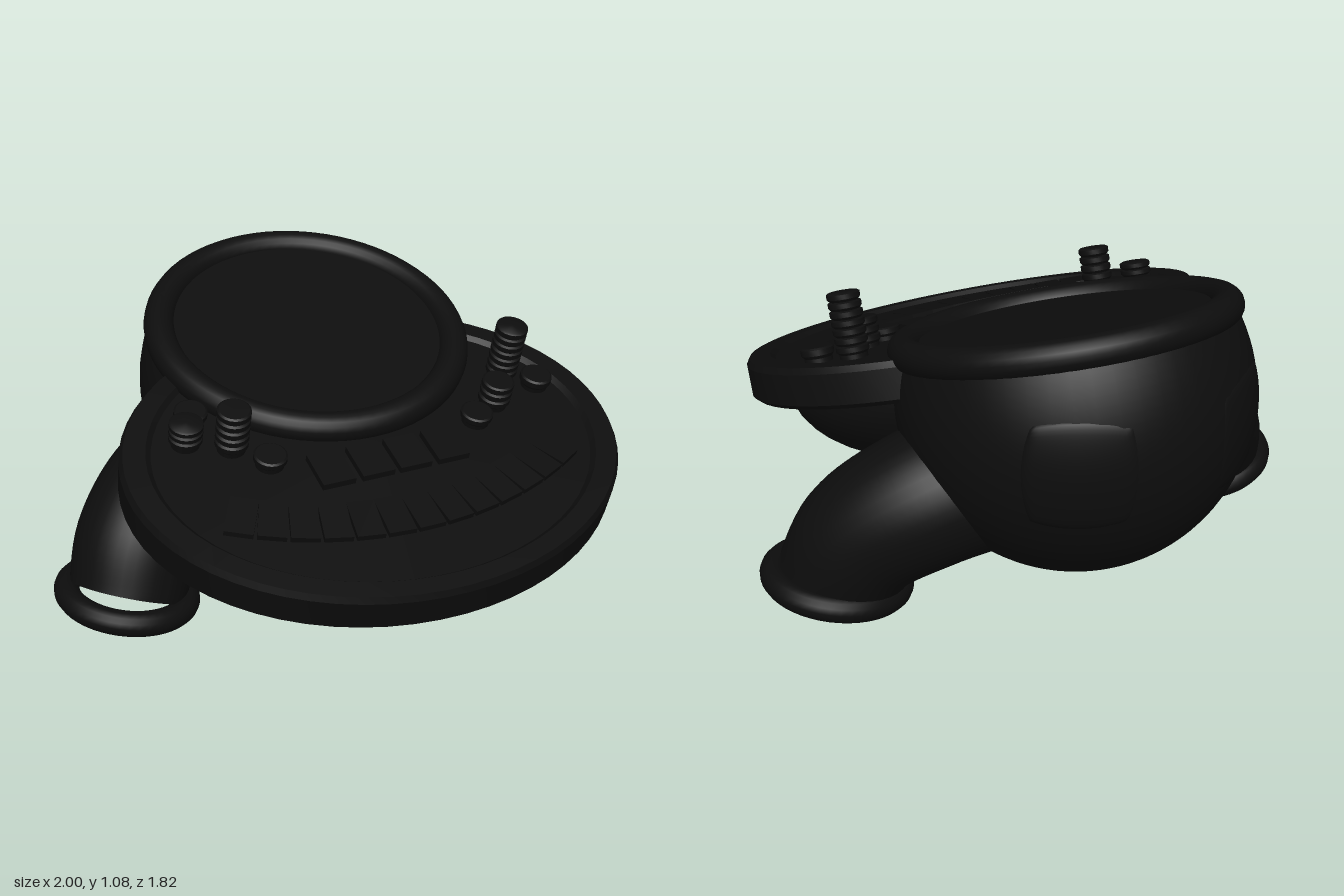
import * as THREE from 'three';
import { toCreasedNormals } from 'three/addons/utils/BufferGeometryUtils.js';

const TILT = 0.288;
const BOWL_R = 0.575;

const material = new THREE.MeshStandardMaterial({ color: 0x0d0d0d, side: THREE.DoubleSide });

function add(parent, name, geometry, x = 0, y = 0, z = 0) {
  const mesh = new THREE.Mesh(geometry, material);
  mesh.name = name;
  mesh.position.set(x, y, z);
  parent.add(mesh);
  return mesh;
}

const lathe = (points, sides) =>
  toCreasedNormals(new THREE.LatheGeometry(points.map(p => new THREE.Vector2(...p)), sides), 0.6);

// Oval tray with a raised rim and a rounded belly below
function trayGeometry() {
  const points = [];
  for (let i = 0; i <= 12; i++) {
    const t = (i / 12) * Math.PI / 2;
    points.push([0.85 * Math.sin(t), -0.13 - 0.36 * Math.cos(t)]);
  }
  points.push([0.98, -0.135], [1, -0.12], [1, -0.02], [0.985, 0], [0.9, 0], [0.88, -0.015], [0, -0.015]);
  return lathe(points, 64).scale(0.83, 1, 0.657);
}

// Rounded square patch bent onto the bowl's sphere
function pocketGeometry() {
  const geo = new THREE.PlaneGeometry(2, 2, 28, 28);
  const pos = geo.attributes.position;
  for (let i = 0; i < pos.count; i++) {
    const u = pos.getX(i), v = pos.getY(i);
    const lon = 0.33 * u * Math.sqrt(1 - 0.3 * v * v);
    const lat = 0.34 * v * Math.sqrt(1 - 0.3 * u * u);
    const edge = Math.max(Math.abs(u), Math.abs(v));
    const r = BOWL_R + 0.018 - 0.03 * edge ** 14;
    pos.setXYZ(i, r * Math.sin(lon) * Math.cos(lat), r * Math.sin(lat), r * Math.cos(lon) * Math.cos(lat));
  }
  geo.computeVertexNormals();
  return geo;
}

// Curved trouser leg, wider at the hip than at the cuff
function legGeometry(path) {
  const rows = 28, sides = 36;
  const geo = new THREE.TubeGeometry(path, rows, 1, sides, false);
  const pos = geo.attributes.position, p = new THREE.Vector3();
  for (let i = 0; i < pos.count; i++) {
    const t = Math.floor(i / (sides + 1)) / rows;
    const centre = path.getPointAt(t);
    p.fromBufferAttribute(pos, i).sub(centre).multiplyScalar(0.245 - 0.043 * t).add(centre);
    pos.setXYZ(i, p.x, p.y, p.z);
  }
  geo.computeVertexNormals();
  return geo;
}

// Knob with ribs along its height
function knobGeometry(height, radius) {
  const points = [[radius * 0.85, -0.03]];
  const ribs = Math.max(1, Math.round(height / 0.03));
  for (let i = 0; i < ribs; i++) {
    const y = (i / ribs) * height, step = height / ribs;
    points.push([radius * 0.85, y], [radius, y + step * 0.3], [radius, y + step * 0.85]);
  }
  points.push([radius * 0.88, height], [0, height]);
  return lathe(points, 20);
}

export function createModel() {
  const root = new THREE.Group();
  root.name = 'model';

  // Tilted assembly: its origin is the middle of the tray top
  const tilted = new THREE.Group();
  tilted.name = 'tiltedBody';
  tilted.position.set(0, 0.7, 0.275);
  tilted.rotation.x = TILT;
  root.add(tilted);

  add(tilted, 'tray', trayGeometry());
  add(tilted, 'bowl', new THREE.SphereGeometry(BOWL_R, 56, 36, 0, Math.PI * 2, 1.18, Math.PI - 1.18), 0, -0.215, -0.585);
  add(tilted, 'waistRing', new THREE.TorusGeometry(0.513, 0.052, 18, 72).rotateX(Math.PI / 2), 0, 0, -0.585);
  add(tilted, 'waistDisc', new THREE.CircleGeometry(0.51, 64).rotateX(-Math.PI / 2), 0, 0.015, -0.585);

  // Arc of keys along the front of the tray
  for (let i = 0; i < 13; i++) {
    const a = (i - 6) * 0.081;
    const key = add(tilted, 'key', new THREE.BoxGeometry(0.088, 0.03, 0.145),
      1.15 * Math.sin(a), -0.012, -0.82 + 1.15 * Math.cos(a));
    key.rotation.y = a;
  }

  // Four pads behind the keys
  for (const x of [-0.2, -0.065, 0.065, 0.2])
    add(tilted, 'pad', new THREE.BoxGeometry(0.11, 0.034, 0.14), x, -0.01, 0.085);

  // Knobs on both sides: x, z, height
  const knobs = [
    [0.56, -0.19, 0.2], [0.46, -0.06, 0.09], [0.36, 0, 0.03], [0.65, -0.11, 0.035],
    [-0.46, -0.1, 0.15], [-0.59, -0.16, 0.075], [-0.37, 0, 0.03], [-0.54, -0.26, 0.03],
  ];
  for (const [x, z, h] of knobs) add(tilted, 'knob', knobGeometry(h, 0.054), x, 0, z);

  for (const side of [1, -1]) {
    // Rear pockets
    const pocket = add(root, 'rearPocket', pocketGeometry(), 0, 0.66, -0.33);
    pocket.rotation.y = Math.PI - side * 0.54;

    // Legs and cuffs
    const path = new THREE.CatmullRomCurve3([
      [0.25, 0.44, -0.32], [0.5, 0.39, -0.28], [0.68, 0.26, -0.18], [0.755, 0.09, -0.115],
    ].map(([x, y, z]) => new THREE.Vector3(side * x, y, z)));
    add(root, 'leg', legGeometry(path));
    const cuff = add(root, 'cuff', new THREE.TorusGeometry(0.207, 0.043, 14, 48).rotateX(Math.PI / 2),
      side * 0.757, 0.085, -0.115);
    cuff.rotation.z = side * 0.2;
  }
  return root;
}
